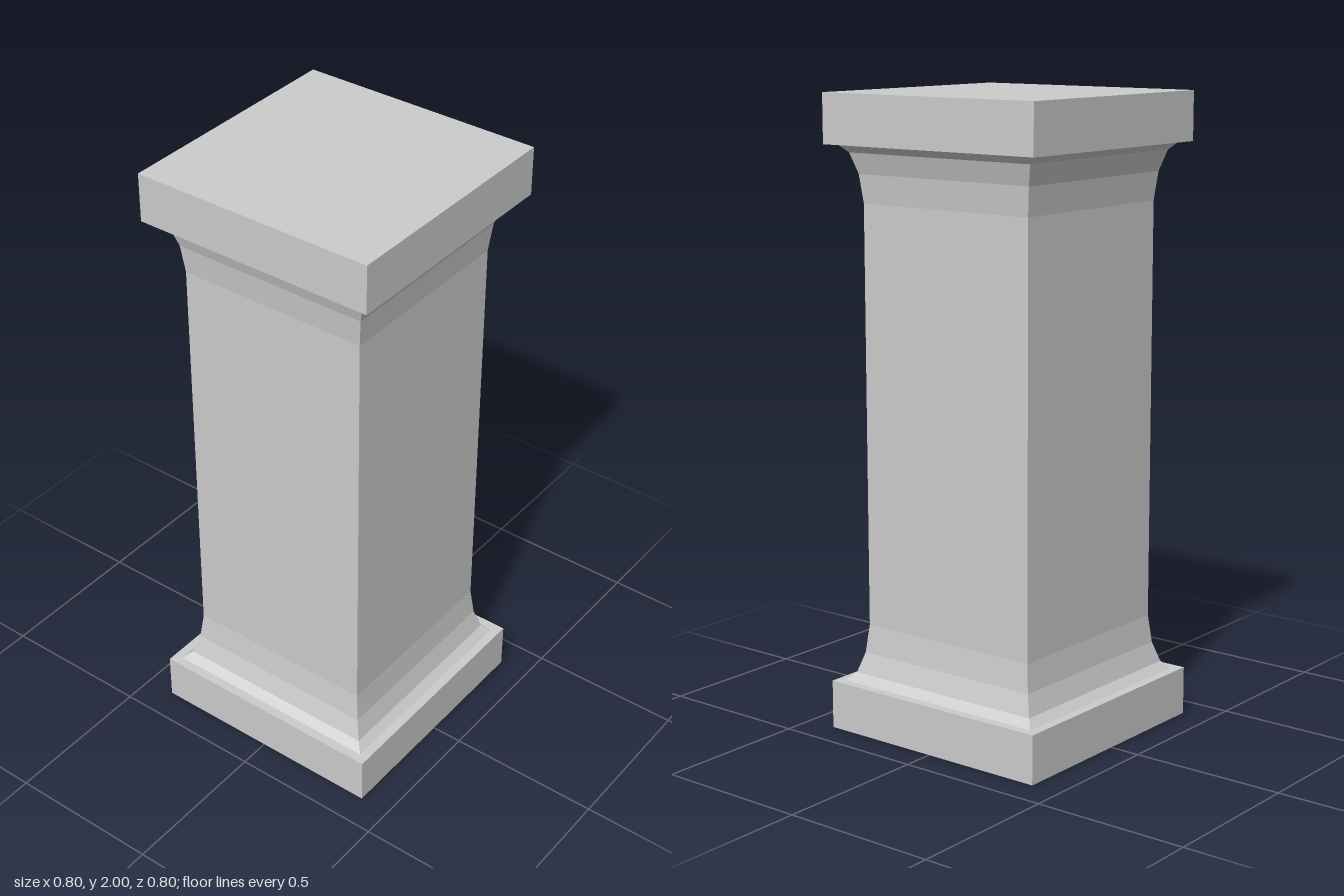
import * as THREE from 'three';

const material = new THREE.MeshStandardMaterial({ color: 0xcccccc, flatShading: true });

// Square slab used at both ends of the pillar
function slab(name, centreY) {
  const mesh = new THREE.Mesh(new THREE.BoxGeometry(0.8, 0.155, 0.8), material);
  mesh.name = name;
  mesh.position.y = centreY;
  return mesh;
}

// Square shaft: a four-sided lathe whose profile flares at both ends
function shaft() {
  // [half width, height] from the foot up to the straight section
  const flare = [[0.37, 0.155], [0.345, 0.18], [0.325, 0.245], [0.315, 0.335]];
  const mirrored = flare.map(([w, y]) => [w, 2 - y]).reverse();
  const profile = [...flare, ...mirrored].map(([w, y]) => new THREE.Vector2(w * Math.SQRT2, y));
  const geometry = new THREE.LatheGeometry(profile, 4, Math.PI / 4).toNonIndexed();
  geometry.computeVertexNormals();
  const mesh = new THREE.Mesh(geometry, material);
  mesh.name = 'shaft';
  return mesh;
}

export function createModel() {
  const pillar = new THREE.Group();
  pillar.name = 'pillar';
  pillar.add(slab('base', 0.0775), shaft(), slab('capital', 1.9225));
  return pillar;
}
